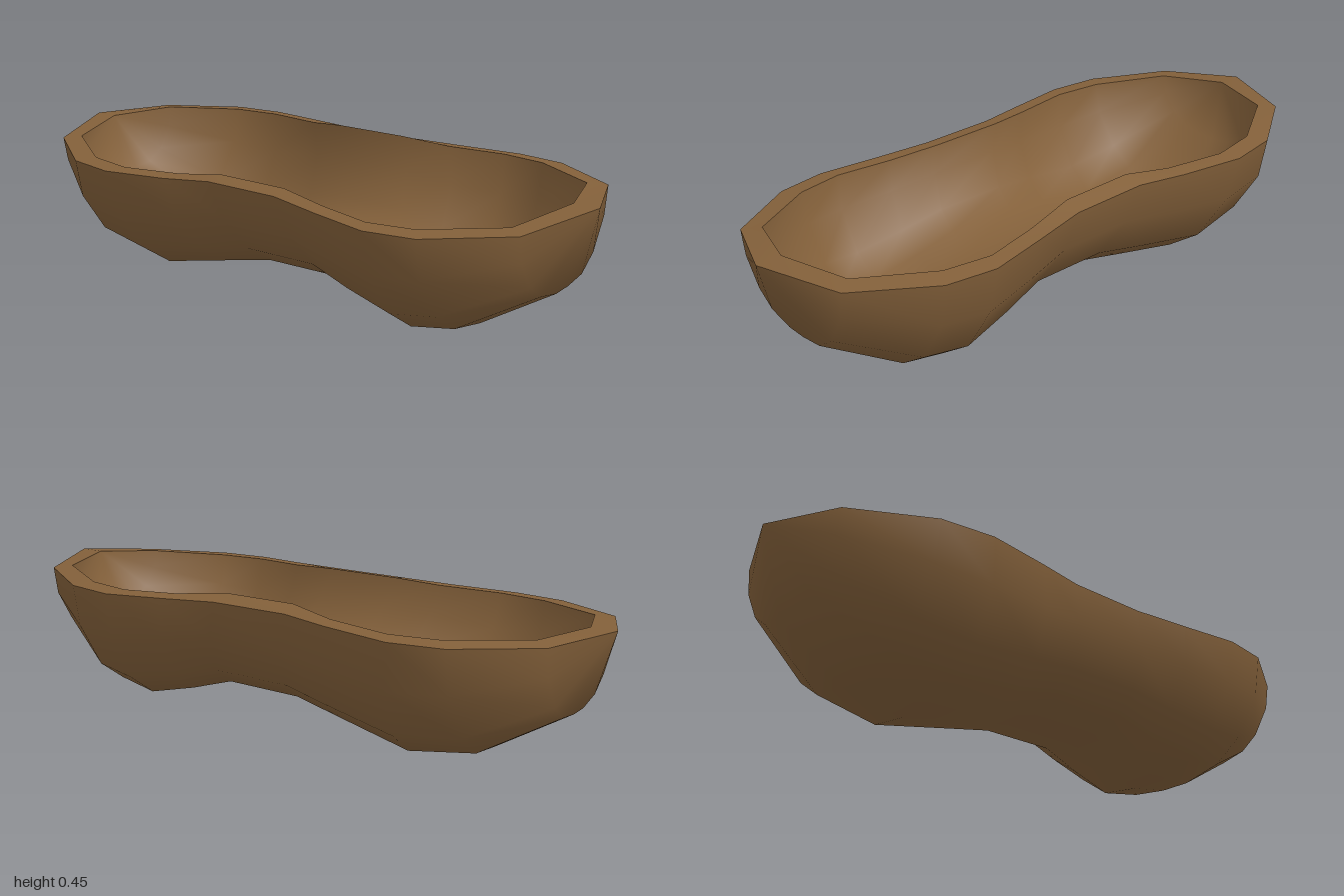
import * as THREE from 'three';

// Stations from front to back: [rim z, keel z, half width, keel y, left rim y, right rim y]
const OUTER = [
  [0.9, 0.9, 0.26, 0.175, 0.402, 0.43],
  [0.67, 0.67, 0.41, 0.035, 0.387, 0.428],
  [0.51, 0.53, 0.435, 0.01, 0.385, 0.427],
  [0.32, 0.37, 0.4, 0.05, 0.391, 0.431],
  [0.14, 0.23, 0.365, 0.095, 0.4, 0.436],
  [-0.12, -0.03, 0.365, 0.09, 0.4, 0.436],
  [-0.28, -0.2, 0.4, 0.055, 0.391, 0.431],
  [-0.5, -0.45, 0.435, 0.0, 0.385, 0.427],
  [-0.67, -0.67, 0.41, 0.035, 0.387, 0.428],
  [-0.9, -0.9, 0.26, 0.175, 0.402, 0.43],
];
// Wall: the inner skin is narrower, shorter and higher
const INNER = OUTER.map(([zr, zb, w, y, l, r]) => {
  const waist = w < 0.38 && Math.abs(zr) < 0.4;
  return [zr * 0.945, zb * 0.945, w - (w < 0.3 ? 0.04 : 0.057), y + 0.065,
    l + (waist ? 0.011 : 0.006), r + (waist ? 0.018 : 0.006)];
});
// Half-round section: [across, depth]
const SECTION = [[-1, 0], [-0.943, 0.36], [-0.725, 0.735], [-0.48, 0.925], [-0.13, 1],
  [0.14, 0.99], [0.47, 0.935], [0.725, 0.74], [0.945, 0.355], [1, 0]];
const COLS = SECTION.length;
const mix = THREE.MathUtils.lerp;

// Rows of points with a single pole at either end
function rows(stations, tip) {
  const body = stations.map(([zr, zb, w, y, l, r]) => SECTION.map(([u, v]) =>
    [u * w, mix(mix(l, r, (u + 1) / 2), y, v), mix(zr, zb, v)]));
  return [[[0, 0.438, tip]], ...body, [[0, 0.432, -tip]]];
}

function makeGeometry(points, index) {
  const g = new THREE.BufferGeometry();
  g.setAttribute('position', new THREE.Float32BufferAttribute(points.flat(), 3));
  g.setIndex(index);
  g.computeVertexNormals();
  return g;
}

function skin(grid, inward) {
  const last = grid.length - 1;
  const id = (i, j) => (i === 0 ? 0 : 1 + (i - 1) * COLS + (i === last ? 0 : j));
  const index = [];
  const tri = (a, b, c) => {
    if (a !== b && b !== c && a !== c) index.push(...(inward ? [a, b, c] : [a, c, b]));
  };
  for (let i = 0; i < last; i++) {
    for (let j = 0; j < COLS - 1; j++) {
      tri(id(i, j), id(i, j + 1), id(i + 1, j));
      tri(id(i, j + 1), id(i + 1, j + 1), id(i + 1, j));
    }
  }
  return makeGeometry(grid.flat(), index);
}

// Flat band joining the two skins along the opening
function rim(outer, inner) {
  const loop = (grid) => [
    ...grid.map((row) => row[row.length - 1]),
    ...grid.slice(1, -1).reverse().map((row) => row[0]),
  ];
  const a = loop(outer), b = loop(inner), n = a.length, index = [];
  for (let k = 0; k < n; k++) {
    const m = (k + 1) % n;
    index.push(k, m, n + k, m, n + m, n + k);
  }
  return makeGeometry([...a, ...b], index);
}

export function createModel() {
  const group = new THREE.Group();
  group.name = 'halfNutShell';
  const brown = new THREE.MeshStandardMaterial({ color: 0x83603a });
  brown.name = 'shellBrown';

  const outer = rows(OUTER, 1), inner = rows(INNER, 0.92);
  const add = (name, geometry) => {
    const mesh = new THREE.Mesh(geometry, brown);
    mesh.name = name;
    group.add(mesh);
  };
  add('outerShell', skin(outer, false));
  add('innerShell', skin(inner, true));
  add('rim', rim(outer, inner));
  return group;
}
